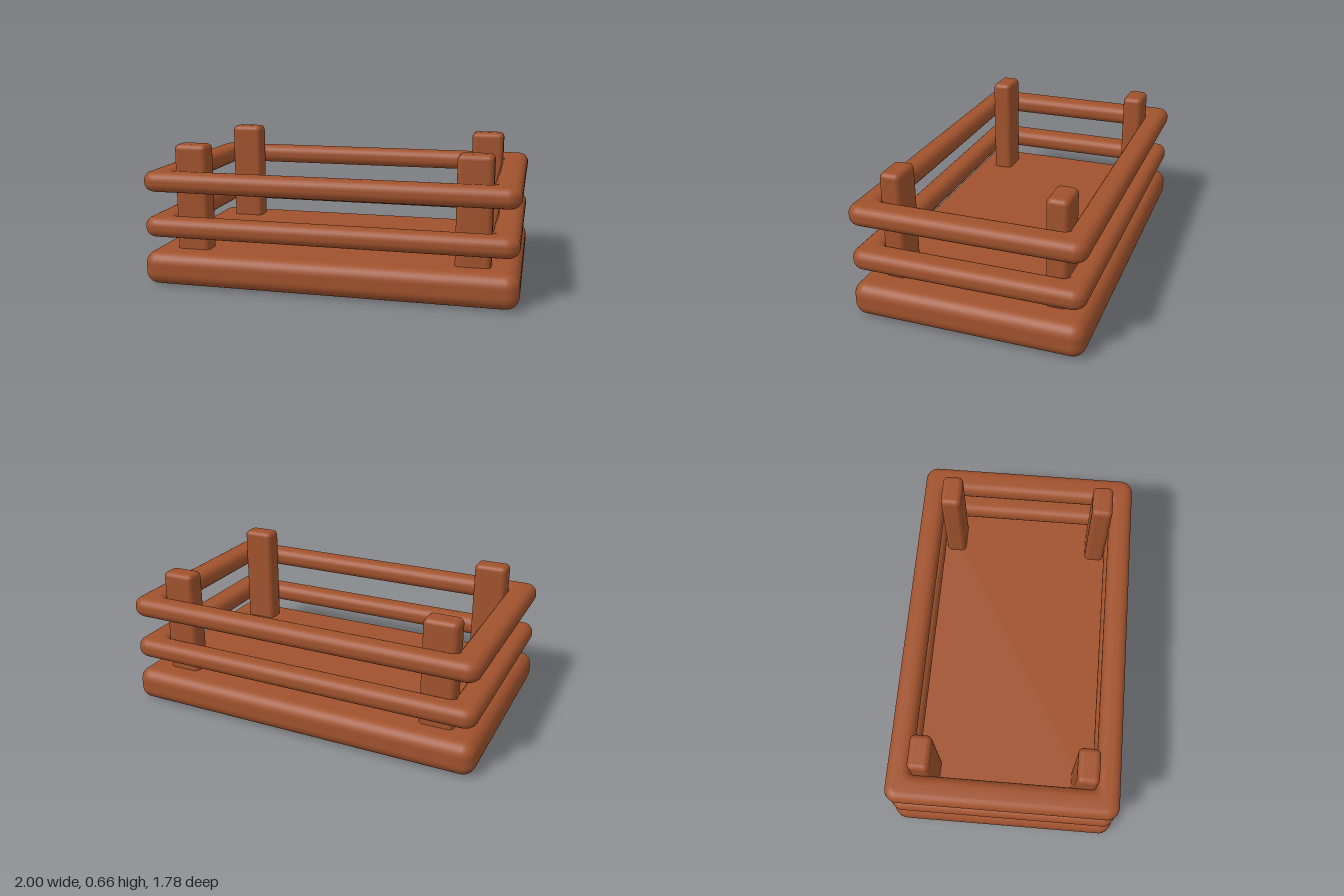
import * as THREE from 'three';
import { RoundedBoxGeometry } from 'three/addons/geometries/RoundedBoxGeometry.js';
import { toCreasedNormals } from 'three/addons/utils/BufferGeometryUtils.js';

const material = new THREE.MeshStandardMaterial({ color: 0xa0522d });

function addPart(parent, name, geometry, x, y, z) {
  const mesh = new THREE.Mesh(geometry, material);
  mesh.name = name;
  mesh.position.set(x, y, z);
  parent.add(mesh);
  return mesh;
}

// Rounded rectangle outline with half sizes a, b and corner radius r
function roundedRect(path, a, b, r) {
  path.absarc(a - r, b - r, r, 0, Math.PI / 2);
  path.absarc(-a + r, b - r, r, Math.PI / 2, Math.PI);
  path.absarc(-a + r, -b + r, r, Math.PI, Math.PI * 1.5);
  path.absarc(a - r, -b + r, r, Math.PI * 1.5, Math.PI * 2);
  path.closePath();
  return path;
}

// Rectangular ring with a soft, rounded section, lying flat and centred on y = 0
function railGeometry(a, b, innerA, innerB, height) {
  const bevel = 0.042;
  const shape = roundedRect(new THREE.Shape(), a - bevel, b - bevel, 0.018);
  shape.holes.push(roundedRect(new THREE.Path(), innerA + bevel, innerB + bevel, 0.06));
  const depth = height - 2 * bevel;
  const geometry = new THREE.ExtrudeGeometry(shape, {
    depth, bevelThickness: bevel, bevelSize: bevel, bevelSegments: 6, curveSegments: 6,
  });
  geometry.translate(0, 0, -depth / 2);
  geometry.rotateX(-Math.PI / 2);
  return toCreasedNormals(geometry, 0.8);
}

export function createModel() {
  const model = new THREE.Group();
  model.name = 'railedCrate';

  // The whole crate stands turned about the vertical axis
  const crate = new THREE.Group();
  crate.name = 'crate';
  crate.rotation.y = -0.551;
  model.add(crate);

  // Thick base slab
  addPart(crate, 'base', new RoundedBoxGeometry(1.742, 0.16, 1.072, 6, 0.06), 0, 0.08, 0);

  // Corner posts
  const post = new RoundedBoxGeometry(0.16, 0.56, 0.1, 4, 0.025);
  for (const sx of [-1, 1]) {
    for (const sz of [-1, 1]) {
      const name = (sz > 0 ? 'front' : 'back') + (sx > 0 ? 'Left' : 'Right') + 'Post';
      addPart(crate, name, post, sx * 0.66, 0.38, sz * 0.375);
    }
  }

  // Two rails running around the outside of the posts
  const rail = railGeometry(0.865, 0.532, 0.735, 0.42, 0.095);
  addPart(crate, 'lowerRail', rail, 0, 0.278, 0);
  addPart(crate, 'upperRail', rail, 0, 0.493, 0);

  return model;
}
